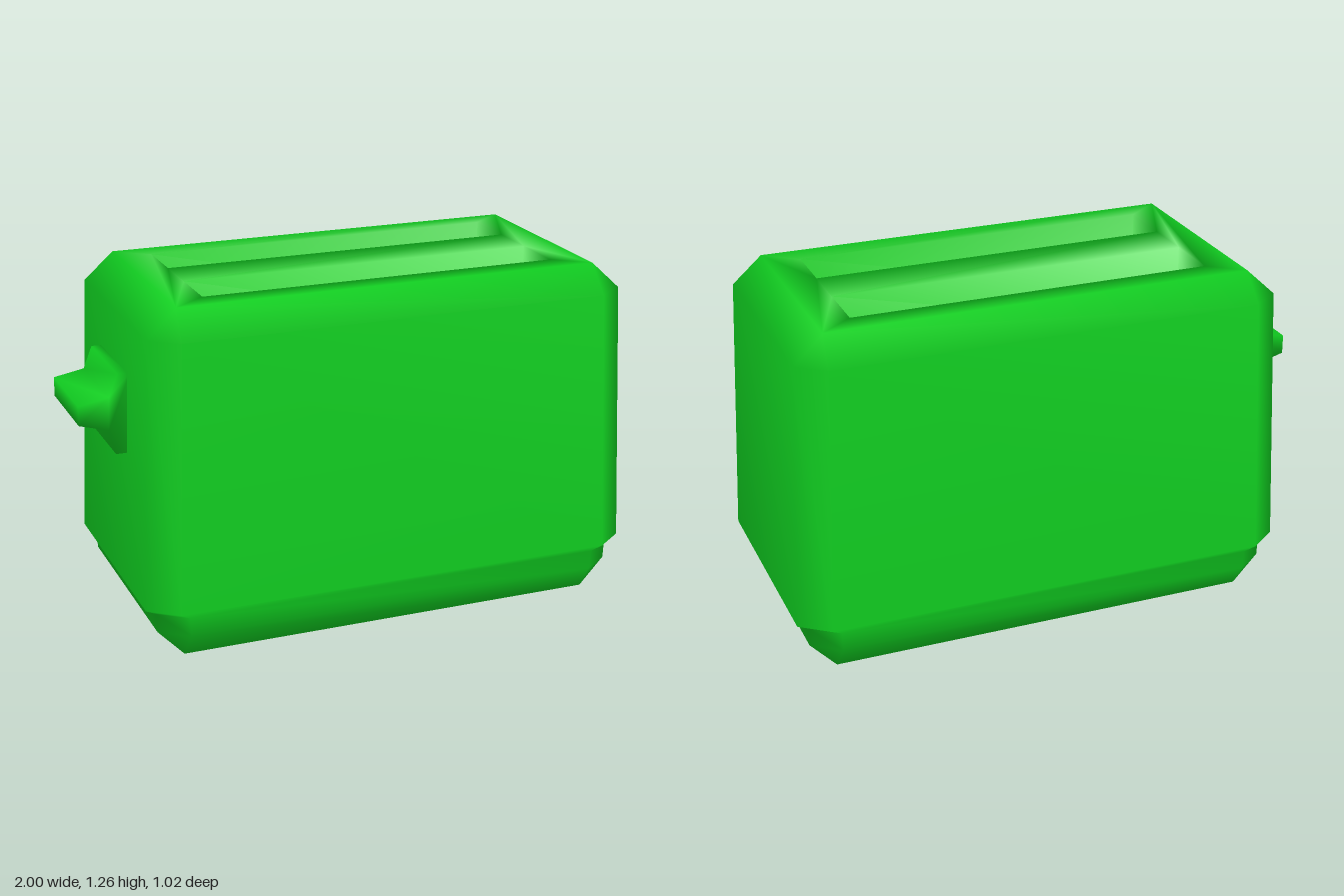
import * as THREE from 'three';
import { mergeGeometries, mergeVertices } from 'three/addons/utils/BufferGeometryUtils.js';

const green = new THREE.MeshStandardMaterial({ color: 0x10cc20, side: THREE.DoubleSide });

// Eight-cornered ring: half sizes hx, hz with corners cut by cx, cz
function ring(y, hx, hz, cx = 0, cz = 0) {
  const pts = [];
  for (const [sx, sz] of [[1, 1], [-1, 1], [-1, -1], [1, -1]]) {
    const a = [sx * hx, y, sz * (hz - cz)];
    const b = [sx * (hx - cx), y, sz * hz];
    pts.push(...(sx * sz > 0 ? [a, b] : [b, a]));
  }
  return pts;
}

// Skin between successive rings; rising rings face outwards, falling rings inwards
function skin(rings) {
  const pos = [];
  for (let r = 0; r < rings.length - 1; r++) {
    const lo = rings[r], hi = rings[r + 1];
    for (let i = 0; i < lo.length; i++) {
      const j = (i + 1) % lo.length;
      for (const p of [lo[i], hi[i], hi[j], lo[i], hi[j], lo[j]]) pos.push(...p);
    }
  }
  const g = new THREE.BufferGeometry();
  g.setAttribute('position', new THREE.Float32BufferAttribute(pos, 3));
  return g;
}

const rect = (hx, hz, z = 0) =>
  [[-hx, -hz], [hx, -hz], [hx, hz], [-hx, hz]].map(([x, v]) => new THREE.Vector2(x, v - z));

// Horizontal upward face with optional rectangular holes
function flat(outline, y, holes = []) {
  const shape = new THREE.Shape(outline);
  for (const h of holes) shape.holes.push(new THREE.Path(h));
  return new THREE.ShapeGeometry(shape).rotateX(-Math.PI / 2).translate(0, y, 0);
}

// Join pieces and share corners so the shading runs smoothly over them
function smooth(pieces) {
  const bare = pieces.map((p) => {
    const g = p.index ? p.toNonIndexed() : p;
    g.deleteAttribute('uv');
    g.deleteAttribute('normal');
    return g;
  });
  const g = mergeVertices(mergeGeometries(bare), 1e-3);
  g.computeVertexNormals();
  return g;
}

export function createModel() {
  const model = new THREE.Group();
  model.name = 'toaster';
  const add = (name, geometry) => {
    const mesh = new THREE.Mesh(geometry, green);
    mesh.name = name;
    model.add(mesh);
  };

  // Housing: bevelled shell, open below, with a step above the base
  const top = 1.26, slotX = 0.655, slotZ = 0.103, slotDepth = 0.3;
  const slots = [-0.196, 0.196];
  const pieces = [
    skin([
      ring(0, 0.783, 0.4),
      ring(0.1, 0.878, 0.473, 0.1, 0.075),
      ring(0.17, 0.88, 0.475, 0.1, 0.075),
      ring(0.195, 0.922, 0.495, 0.105, 0.08),
      ring(1.16, 0.883, 0.475, 0.1, 0.075),
      ring(top, 0.776, 0.392),
    ]),
    flat(rect(0.776, 0.392), top, slots.map((z) => rect(slotX, slotZ, z))),
  ];

  // Two bread slots sunk into the top
  for (const z of slots) {
    pieces.push(
      skin([ring(top, slotX, slotZ), ring(top - slotDepth, slotX, slotZ)]).translate(0, 0, z),
      flat(rect(slotX, slotZ, z), top - slotDepth),
    );
  }
  add('housing', smooth(pieces));

  // Lever: flared profile carried across the end wall
  const profile = [
    [-0.88, 0.98], [-0.925, 0.98], [-0.957, 0.9], [-1.067, 0.88],
    [-1.067, 0.81], [-0.962, 0.78], [-0.94, 0.69], [-0.88, 0.69],
  ].map(([x, y]) => new THREE.Vector2(x, y));
  const lever = new THREE.ExtrudeGeometry(new THREE.Shape(profile), { depth: 0.342, bevelEnabled: false });
  add('lever', smooth([lever.translate(0, 0, -0.171)]));

  // The body sits off centre and turned slightly
  model.rotation.y = 0.0175;
  model.position.set(0.07, 0, -0.003);
  const root = new THREE.Group();
  root.add(model);
  return root;
}
